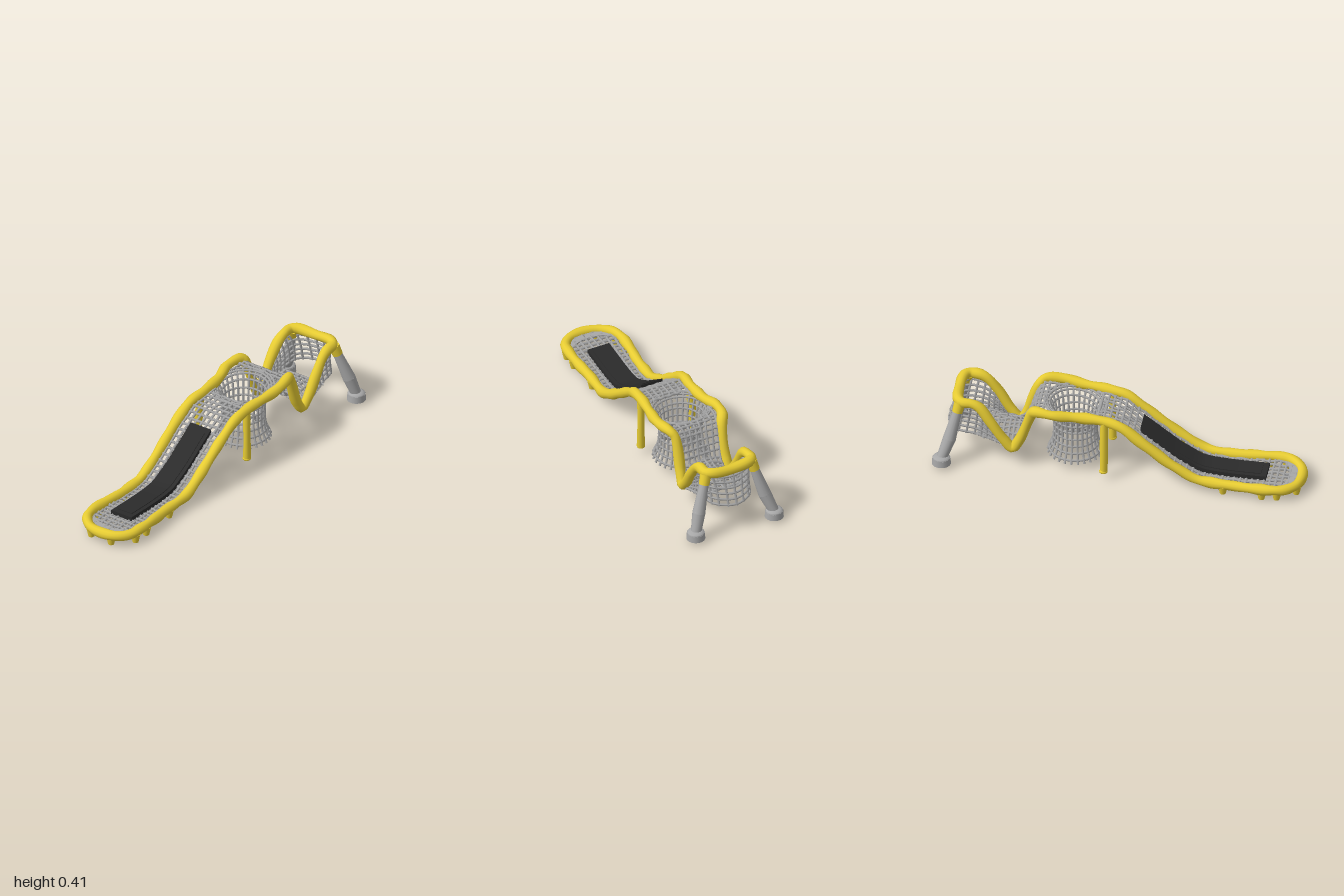
import * as THREE from 'three';
import { mergeGeometries } from 'three/addons/utils/BufferGeometryUtils.js';

const V = (x, y, z) => new THREE.Vector3(x, y, z);

// Rail stations, front to back: z, height, left-hand x, right-hand x
const STATIONS = [
  [0.82, 0.065, -0.262, 0.052], [0.62, 0.057, -0.242, 0.052], [0.5, 0.057, -0.23, 0.058],
  [0.42, 0.066, -0.225, 0.065], [0.3, 0.13, -0.22, 0.073], [0.1, 0.272, -0.207, 0.088],
  [0, 0.336, -0.192, 0.1], [-0.1, 0.354, -0.178, 0.113], [-0.25, 0.361, -0.178, 0.135],
  [-0.36, 0.374, -0.199, 0.15], [-0.45, 0.376, -0.182, 0.134], [-0.475, 0.352, -0.165, 0.118],
  [-0.54, 0.17, -0.152, 0.12], [-0.58, 0.112, -0.152, 0.128], [-0.63, 0.16, -0.153, 0.133],
  [-0.7, 0.265, -0.15, 0.137], [-0.76, 0.34, -0.142, 0.138], [-0.8, 0.36, -0.139, 0.138],
  [-0.855, 0.363, -0.137, 0.137],
];
const HOLE = { x: -0.03, z: -0.262, r: 0.15 };

// Interpolated [height, minX, maxX] at depth z
function station(z) {
  let i = 0;
  while (i < STATIONS.length - 2 && z < STATIONS[i + 1][0]) i++;
  const a = STATIONS[i], b = STATIONS[i + 1];
  const t = THREE.MathUtils.clamp((z - a[0]) / (b[0] - a[0]), 0, 1);
  return [1, 2, 3].map((k) => a[k] + (b[k] - a[k]) * t);
}

// Point on the walkway; s runs 0..1 across it. In the dip it arches between the rails
function deck(s, z) {
  let [y, l, r] = station(z);
  if (z < -0.5) {
    const crown = 0.195 + Math.min(0, z + 0.6) * 0.17;
    const edge = z < -0.58 ? 0.112 + (-0.58 - z) * 0.28 : y;
    y = edge + Math.max(0, crown - edge) * Math.sin(s * Math.PI);
  }
  const wob = 0.003 * Math.sin(s * 37 + z * 61);
  return V(l + (r - l) * s + wob, y - 0.007 + wob, z);
}

// One net cord following a function of t in 0..1
function cord(fn, segs = 12, r = 0.0074) {
  const pts = Array.from({ length: segs + 1 }, (_, i) => fn(i / segs));
  return new THREE.TubeGeometry(new THREE.CatmullRomCurve3(pts), segs, r, 5, false);
}

// Cords in both directions over a surface f(u, v); loose ends hang past the last row
function net(f, nu, nv, r, lastRow) {
  const out = [];
  for (let i = 0; i <= nu; i++) out.push(cord((t) => f(i / nu, t), 10, r));
  for (let j = 0; j <= nv; j++) out.push(cord((t) => f(t, j / nv * lastRow), 40, r));
  return out;
}

// Lumpy inflated tube
function lumpyTube(curve, segs, radius, closed) {
  const g = new THREE.TubeGeometry(curve, segs, radius, 12, closed);
  const p = g.attributes.position, n = g.attributes.normal;
  for (let i = 0; i < p.count; i++) {
    const x = p.getX(i), y = p.getY(i), z = p.getZ(i);
    const d = 0.002 * (Math.sin(z * 47 + x * 12) + Math.sin(z * 23 - x * 31 + y * 19));
    p.setXYZ(i, x + n.getX(i) * d, y + n.getY(i) * d, z + n.getZ(i) * d);
  }
  return g;
}

function between(a, b, rTop, rBottom) {
  const g = new THREE.CylinderGeometry(rTop, rBottom, a.distanceTo(b), 14);
  const q = new THREE.Quaternion().setFromUnitVectors(V(0, 1, 0), a.clone().sub(b).normalize());
  g.applyQuaternion(q);
  const m = a.clone().add(b).multiplyScalar(0.5);
  return g.translate(m.x, m.y, m.z);
}

export function createModel() {
  const root = new THREE.Group();
  root.name = 'netBridge';
  const mat = (name, color) => Object.assign(new THREE.MeshStandardMaterial({ color }), { name });
  const yellow = mat('yellow', 0xebd034);
  const grey = mat('grey', 0xa8a8a8);
  const black = mat('black', 0x2b2b2b);
  const add = (name, geo, material) => {
    const m = new THREE.Mesh(Array.isArray(geo) ? mergeGeometries(geo) : geo, material);
    m.name = name;
    root.add(m);
  };

  // Closed rail running up both sides, around the front and across the back
  const left = STATIONS.map(([z, y, l]) => V(l, y, z));
  const right = STATIONS.map(([z, y, , r]) => V(r, y, z));
  const front = [V(-0.245, 0.063, 0.89), V(-0.19, 0.06, 0.945), V(-0.105, 0.059, 0.962),
    V(-0.02, 0.06, 0.945), V(0.037, 0.063, 0.89)];
  const back = [V(0.11, 0.366, -0.878), V(0, 0.36, -0.888), V(-0.11, 0.366, -0.878)];
  const loop = new THREE.CatmullRomCurve3([...front, ...right, ...back, ...left.reverse()], true);
  add('rail', lumpyTube(loop, 320, 0.0275, true), yellow);

  // Stubby feet under the front loop
  const nubs = [[-0.18, 0.945], [-0.05, 0.95], [-0.247, 0.85], [0.045, 0.86], [-0.255, 0.77],
    [0.052, 0.77], [-0.236, 0.56], [0.055, 0.56]];
  add('frontFeet', nubs.map(([x, z]) => between(V(x, 0.05, z), V(x, 0.002, z), 0.027, 0.016)), yellow);

  // Upright posts beneath the crest
  const posts = [[-0.185, -0.205], [0.112, 0.112]];
  add('posts', posts.map(([x0, x1]) =>
    lumpyTube(new THREE.CatmullRomCurve3([V(x0, 0.35, -0.085), V((x0 + x1) / 2, 0.2, -0.085), V(x1, 0.045, -0.085)]), 20, 0.021, false)), yellow);
  add('postEnds', posts.map(([, x]) =>
    new THREE.SphereGeometry(0.023, 12, 8).scale(1, 0.6, 1).translate(x, 0.05, -0.085)), yellow);

  // Front walkway net, rounded at the front and ending at the funnel
  const walk = [];
  const across = 9;
  for (let i = 1; i < across; i++) {
    const s = i / across, k = 2 * s - 1;
    const z0 = 0.82 + 0.13 * Math.sqrt(1 - k * k);
    const dx = deck(s, -0.12).x - HOLE.x;
    const z1 = HOLE.z + Math.sqrt(Math.max(0, HOLE.r ** 2 - dx * dx));
    walk.push(cord((t) => deck(s, z0 + (z1 - z0) * t), 44));
  }
  for (let z = 0.93; z > -0.13; z -= 0.032) {
    const half = z > 0.82 ? Math.sqrt(1 - ((z - 0.82) / 0.13) ** 2) / 2 : 0.5;
    walk.push(cord((t) => deck(0.5 + (2 * t - 1) * half, z)));
  }
  add('walkwayNet', walk, grey);

  // Solid crescent lip at the front of the net
  const lip = new THREE.Shape();
  lip.absellipse(-0.105, 0, 0.15, 0.13, 0, Math.PI, false);
  lip.absellipse(-0.105, 0, 0.13, 0.075, Math.PI, 0, true);
  const lipGeo = new THREE.ExtrudeGeometry(lip, { depth: 0.008, bevelEnabled: false, curveSegments: 20 });
  add('frontLip', lipGeo.rotateX(Math.PI / 2).translate(0, 0.064, 0.82), grey);

  // Hanging net funnel with a narrow waist and loose ends
  const profile = new THREE.CatmullRomCurve3([V(0.165, 0.358, 0), V(0.138, 0.343, 0), V(0.119, 0.28, 0),
    V(0.113, 0.2, 0), V(0.12, 0.12, 0), V(0.148, 0.053, 0)]);
  add('funnelNet', net((u, v) => {
    const p = profile.getPoint(v), a = u * Math.PI * 2;
    const lift = p.y > 0.3 ? -0.012 * Math.sin(a) : 0;
    return V(HOLE.x + p.x * Math.cos(a), p.y + lift, HOLE.z + p.x * Math.sin(a));
  }, 26, 9, 0.0066, 0.94), grey);

  // Net dropping from the funnel into the dip and on to the rear opening
  const dip = [];
  for (let i = 1; i < across; i++) {
    const s = i / across, dx = deck(s, -0.42).x - HOLE.x;
    const z0 = HOLE.z - Math.sqrt(Math.max(0, HOLE.r ** 2 - dx * dx));
    dip.push(cord((t) => deck(s, z0 + (-0.77 - z0) * t), 26));
  }
  for (const z of [-0.42, -0.445, -0.465, -0.48, -0.493, -0.506, -0.519, -0.535, -0.56, -0.585, -0.61,
    -0.64, -0.675, -0.71, -0.74, -0.77]) dip.push(cord((t) => deck(t, z)));
  add('dipNet', dip, grey);

  // Rear curtain net hung from the side rails and back bar, starting at the dip
  const upper = [0.59, 0.64, 0.7, 0.76, 0.85].map((z) => [station(-z), -z]);
  const top = new THREE.CatmullRomCurve3([
    ...upper.map(([s, z]) => V(s[1], s[0], z)), V(0, 0.358, -0.895),
    ...upper.reverse().map(([s, z]) => V(s[2], s[0], z))]);
  const hemSide = [[0.15, 0.108, -0.585], [0.145, 0.125, -0.64], [0.138, 0.14, -0.7],
    [0.13, 0.157, -0.78], [0.11, 0.163, -0.89]];
  const hem = new THREE.CatmullRomCurve3([
    ...hemSide.map(([x, y, z]) => V(-x, y, z)), V(0, 0.16, -0.945),
    ...hemSide.reverse().map(([x, y, z]) => V(x - 0.006, y, z))]);
  add('rearCurtainNet', net((u, v) => {
    const p = top.getPoint(u).lerp(hem.getPoint(u), v);
    const pinch = 1 - 0.1 * Math.sin(v * Math.PI);
    return V(p.x * pinch, p.y, p.z);
  }, 26, 6, 0.007, 0.96), grey);

  // Splayed rear legs with yellow sleeves and rounded feet
  const legs = [[V(-0.13, 0.355, -0.865), V(-0.185, 0.155, -0.913), V(-0.223, 0.05, -0.95)],
    [V(0.14, 0.355, -0.86), V(0.207, 0.155, -0.906), V(0.238, 0.05, -0.93)]];
  legs.forEach(([a, b, c], i) => {
    const side = i ? 'left' : 'right';
    const elbow = new THREE.SphereGeometry(0.035, 14, 10).translate(b.x, b.y, b.z);
    const foot = new THREE.CylinderGeometry(0.048, 0.051, 0.036, 20).translate(c.x, 0.038, c.z);
    const dome = new THREE.SphereGeometry(0.048, 16, 8).scale(1, 0.35, 1).translate(c.x, 0.055, c.z);
    add(side + 'Leg', [between(a, b, 0.021, 0.035), elbow, between(b, c, 0.035, 0.028), foot, dome], grey);
    add(side + 'LegSleeve', between(a, a.clone().lerp(b, 0.26), 0.031, 0.028), yellow);
  });

  // Slide mat following the slope, with a raised inner panel and a backing sheet
  const slab = (w, h, z0, z1, lift) => {
    const g = new THREE.BoxGeometry(w, h, z1 - z0, 2, 1, 30).translate(0, 0, (z0 + z1) / 2);
    const p = g.attributes.position;
    for (let i = 0; i < p.count; i++) {
      const z = p.getZ(i);
      const y = (station(z - 0.02)[0] + station(z)[0] + station(z + 0.02)[0]) / 3;
      p.setXYZ(i, p.getX(i) - 0.055 - 0.068 * (z - 0.1), p.getY(i) + y + lift, z);
    }
    g.computeVertexNormals();
    return g;
  };
  add('slideMat', slab(0.13, 0.024, 0.1, 0.78, 0.006), black);
  add('slideMatPanel', slab(0.088, 0.008, 0.13, 0.75, 0.018), black);
  add('slideMatBacking', slab(0.134, 0.006, 0.098, 0.782, -0.009), grey);

  return root;
}
